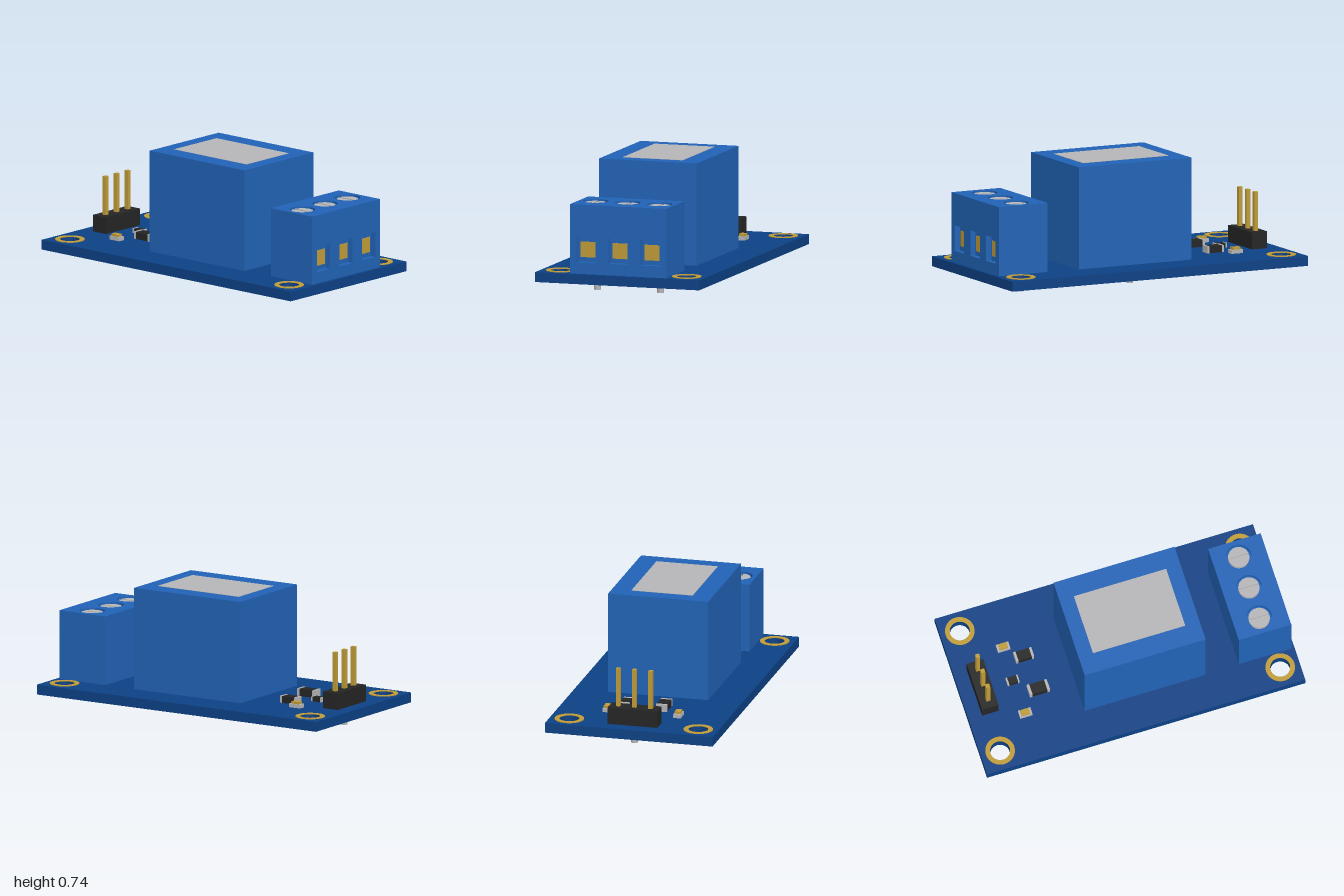
import * as THREE from 'three';

const mat = (name, color) => Object.assign(new THREE.MeshStandardMaterial({ color }), { name });

export function createModel() {
  const root = new THREE.Group();
  root.name = 'relayModule';
  const boardBlue = mat('board blue', 0x0c4185);
  const caseBlue = mat('case blue', 0x2163b6);
  const gold = mat('gold', 0xbf9b38);
  const metal = mat('light metal', 0xb5b5b7);
  const black = mat('black plastic', 0x252525);

  const add = (name, geo, material, x = 0, y = 0, z = 0, parent = root) => {
    const m = new THREE.Mesh(geo, material);
    m.name = name;
    m.position.set(x, y, z);
    parent.add(m);
    return m;
  };
  // Box given by its centre in x and z and its bottom and top heights
  const box = (name, material, x, z, w, d, y0, y1, parent) =>
    add(name, new THREE.BoxGeometry(w, y1 - y0, d), material, x, (y0 + y1) / 2, z, parent);
  const rect = (Type, x0, y0, x1, y1) => new Type([
    [x0, y0], [x1, y0], [x1, y1], [x0, y1],
  ].map(([x, y]) => new THREE.Vector2(x, y)));
  const circle = (Type, x, y, r) => new Type().absarc(x, y, r, 0, Math.PI * 2, false);
  const extrude = (shape, depth) =>
    new THREE.ExtrudeGeometry(shape, { depth, bevelEnabled: false, curveSegments: 16 });
  const slab = (shape, depth) => extrude(shape, depth).rotateX(-Math.PI / 2);

  // Circuit board with four plated mounting holes
  const corners = [[-0.88, -0.4], [0.88, -0.4], [-0.88, 0.4], [0.88, 0.4]];
  const boardShape = rect(THREE.Shape, -1, -0.52, 1, 0.52);
  corners.forEach(([x, z]) => boardShape.holes.push(circle(THREE.Path, x, z, 0.06)));
  add('circuitBoard', slab(boardShape, 0.06), boardBlue, 0, 0.06, 0);
  const ringShape = circle(THREE.Shape, 0, 0, 0.089);
  ringShape.holes.push(circle(THREE.Path, 0, 0, 0.06));
  const ringGeo = slab(ringShape, 0.004);
  corners.forEach(([x, z]) => add('mountingRing', ringGeo, gold, x, 0.12, z));

  // Solder pins underneath
  const pinGeo = new THREE.CylinderGeometry(0.021, 0.021, 0.06, 16);
  [[-0.86, 0], [0.06, -0.24], [0.06, 0.24], [0.78, -0.2], [0.78, 0.2]]
    .forEach(([x, z]) => add('solderPin', pinGeo, metal, x, 0.03, z));

  // Relay with its top label
  box('relayCase', caseBlue, 0.06, 0, 0.76, 0.62, 0.12, 0.74);
  box('relayLabel', metal, 0.06, 0, 0.58, 0.38, 0.738, 0.742);

  // Screw terminal: core, front plate with wire openings, top plate with wells
  const terminal = new THREE.Group();
  terminal.name = 'screwTerminal';
  root.add(terminal);
  const slots = [-0.203, 0, 0.203];
  box('terminalCore', caseBlue, 0.7975, 0, 0.295, 0.61, 0.12, 0.51, terminal);
  const front = rect(THREE.Shape, -0.305, 0.12, 0.305, 0.51);
  const top = rect(THREE.Shape, 0.65, -0.305, 0.98, 0.305);
  slots.forEach((z) => {
    front.holes.push(rect(THREE.Path, z - 0.06, 0.19, z + 0.06, 0.345));
    top.holes.push(circle(THREE.Path, 0.81, z, 0.077));
  });
  add('terminalFront', extrude(front, 0.035).rotateY(Math.PI / 2), caseBlue, 0.945, 0, 0, terminal);
  add('terminalTop', slab(top, 0.03), caseBlue, 0, 0.51, 0, terminal);

  // Clamp contacts and slotted screws
  const discGeo = new THREE.CylinderGeometry(0.064, 0.064, 0.01, 32);
  const a = Math.asin(0.007 / 0.064);
  const halfGeo = slab(new THREE.Shape().absarc(0, 0, 0.064, a, Math.PI - a, false), 0.012);
  slots.forEach((z) => {
    box('wireContact', gold, 0.946, z, 0.006, 0.094, 0.218, 0.312, terminal);
    add('screwBase', discGeo, metal, 0.81, 0.515, z, terminal);
    add('screwHalf', halfGeo, metal, 0.81, 0.52, z, terminal);
    add('screwHalf', halfGeo, metal, 0.81, 0.52, z, terminal).rotation.y = Math.PI;
  });

  // Three-pin header
  box('headerBody', black, -0.863, 0, 0.104, 0.308, 0.12, 0.222);
  [-0.1, 0, 0.1].forEach((z) => box('headerPin', gold, -0.863, z, 0.025, 0.025, 0.222, 0.46));

  // Indicator lights
  [-0.22, 0.22].forEach((z) => {
    box('lightBase', metal, -0.665, z, 0.078, 0.046, 0.12, 0.143);
    box('lightLens', gold, -0.665, z, 0.052, 0.036, 0.143, 0.157);
  });

  // Chip components with metal end caps: x, z, length, width, top
  [[-0.564, -0.13, 0.113, 0.062, 0.162], [-0.675, 0, 0.075, 0.046, 0.148],
    [-0.544, 0.097, 0.126, 0.068, 0.165]].forEach(([x, z, l, w, h]) => {
    const cap = l * 0.13;
    box('chipBody', black, x, z, l - 2 * cap, w - 0.002, 0.12, h - 0.001);
    [-1, 1].forEach((s) => box('chipCap', metal, x + s * (l - cap) / 2, z, cap, w, 0.12, h));
  });

  return root;
}
